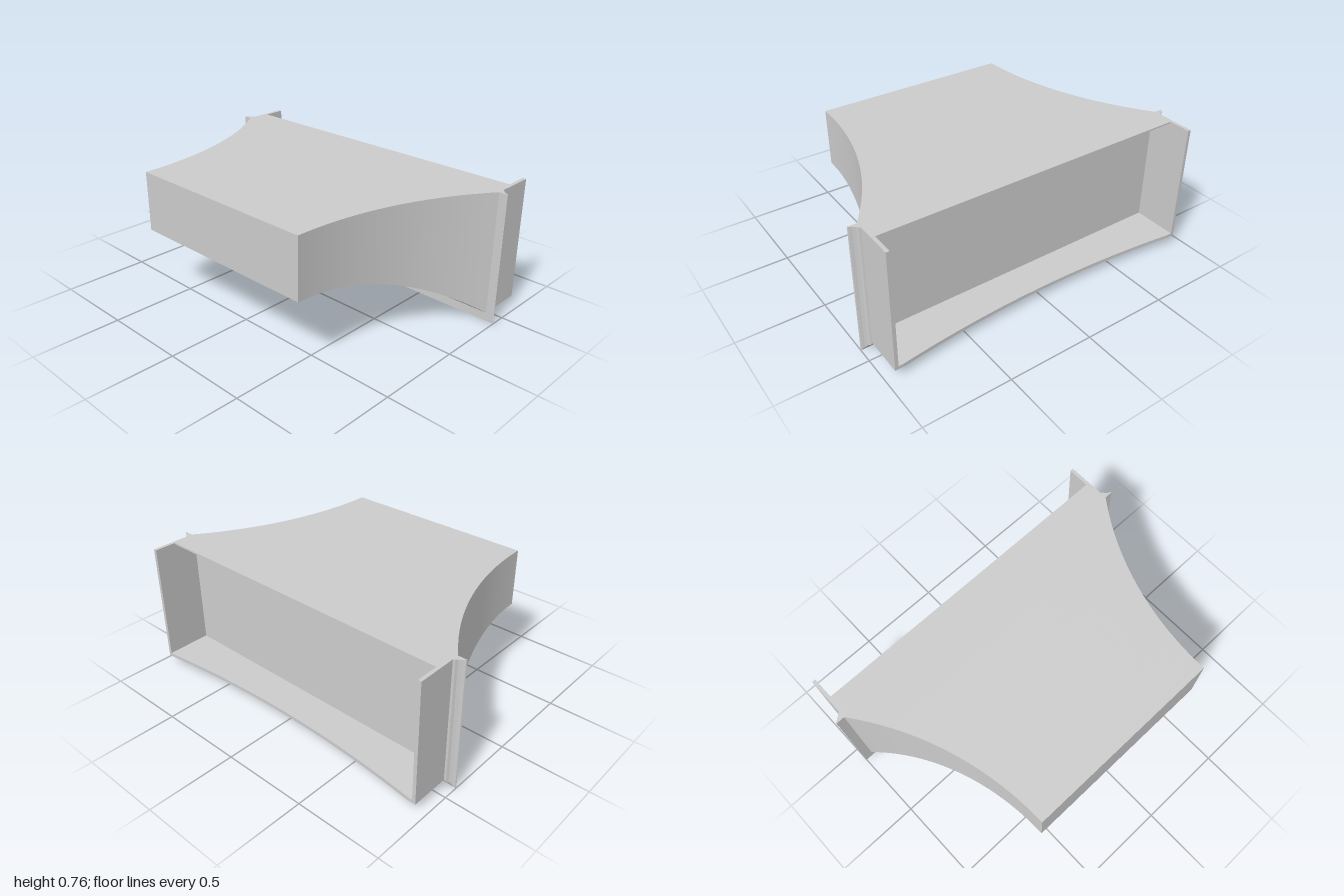
import * as THREE from 'three';

const TOP = 0.76, BASE = 0.05, FRONT = 0.675, JOIN = -0.41, BACK = -0.675, HALF = 0.95, WALL = 0.02;

// Skin a row of equal rings: smooth along the sweep, sharp between ring sides, capped at both ends.
function sweep(rings, faceted = false) {
  const pos = [], idx = [], n = rings[0].length;
  for (let k = 0; k < n; k++) {
    const start = pos.length / 3;
    rings.forEach((r) => pos.push(...r[k], ...r[(k + 1) % n]));
    for (let i = 0; i < rings.length - 1; i++) {
      const a = start + i * 2;
      idx.push(a, a + 2, a + 1, a + 1, a + 2, a + 3);
    }
  }
  [rings[0], [...rings[rings.length - 1]].reverse()].forEach((ring) => {
    const start = pos.length / 3;
    ring.forEach((p) => pos.push(...p));
    for (let k = 1; k < n - 1; k++) idx.push(start, start + k, start + k + 1);
  });
  let g = new THREE.BufferGeometry();
  g.setAttribute('position', new THREE.Float32BufferAttribute(pos, 3));
  g.setIndex(idx);
  if (faceted) g = g.toNonIndexed();
  g.computeVertexNormals();
  return g;
}

// Horizontal slab from a plan outline (x, distance towards the back).
function slab(shape, y, height) {
  const g = new THREE.ExtrudeGeometry(shape, { depth: height, bevelEnabled: false, curveSegments: 32 });
  return g.rotateX(-Math.PI / 2).translate(0, y, 0);
}

// Outline of one underside panel; its rear edge follows the bowed floor edge.
function panelOutline(side, inset) {
  const x0 = 0.04 + inset, x1 = 0.89 - inset, pts = [];
  pts.push(new THREE.Vector2(side * x0, 0.48 + inset), new THREE.Vector2(side * x1, 0.48 + inset));
  for (let i = 0; i <= 12; i++) {
    const x = x1 + (x0 - x1) * (i / 12);
    pts.push(new THREE.Vector2(side * x, 0.575 + 0.06 * (x / 0.9) ** 2 - inset));
  }
  return pts;
}

export function createModel() {
  const model = new THREE.Group();
  const mat = new THREE.MeshStandardMaterial({ color: 0xcccccc });
  const add = (name, geometry) => {
    const mesh = new THREE.Mesh(geometry, mat);
    mesh.name = name;
    model.add(mesh);
    return mesh;
  };
  const box = (name, w, h, d, x, y, z) => add(name, new THREE.BoxGeometry(w, h, d).translate(x, y, z));

  // Flared body: sides and underside follow the same circular arc
  const run = FRONT - JOIN, rise = 0.365;
  const radius = (run * run + rise * rise) / (2 * rise);
  const rings = [];
  for (let i = 0; i <= 40; i++) {
    const s = (i / 40) * run, drop = radius - Math.sqrt(radius * radius - s * s);
    const w = HALF - rise + drop, b = BASE + rise - drop, z = FRONT - s;
    rings.push([[w, b, z], [w, TOP, z], [-w, TOP, z], [-w, b, z]]);
  }
  add('flaredBody', sweep(rings));

  // Mitred moulding around both sides and the bottom: [outward, z]
  const profile = [[0, JOIN], [0.05, JOIN], [0.047, -0.416], [0.03, -0.423], [0.017, -0.433], [0.01, -0.445], [0, -0.45]];
  const stations = [[HALF, TOP, 1, 0], [HALF, BASE, 1, -1], [-HALF, BASE, -1, -1], [-HALF, TOP, -1, 0]];
  add('trimMoulding', sweep(stations.map(([x, y, dx, dy]) =>
    profile.map(([d, z]) => [x + dx * d, y + dy * d, z])), true));

  // Rear box, open at the back and along the rear of its top
  const depth = JOIN - BACK;
  for (const side of [1, -1]) {
    box(side > 0 ? 'leftWall' : 'rightWall', WALL, TOP - BASE, depth,
      side * (HALF - WALL / 2), (TOP + BASE) / 2, (JOIN + BACK) / 2);
  }
  box('topPanel', 2 * (HALF - WALL), 0.01, 0.135, 0, TOP - 0.005, JOIN - 0.0675);

  // Floor with a bowed rear edge and two panel openings
  const floor = new THREE.Shape();
  floor.moveTo(-HALF, -JOIN);
  floor.lineTo(HALF, -JOIN);
  floor.lineTo(HALF, -BACK);
  floor.lineTo(0.9, -BACK);
  floor.quadraticCurveTo(0, 0.555, -0.9, -BACK);
  floor.lineTo(-HALF, -BACK);
  floor.closePath();
  for (const side of [1, -1]) floor.holes.push(new THREE.Path(panelOutline(side, 0)));
  add('floor', slab(floor, BASE, WALL));

  // Recessed panels with a raised frame, seen from below
  for (const side of [1, -1]) {
    const name = side > 0 ? 'left' : 'right';
    add(name + 'PanelRecess', slab(new THREE.Shape(panelOutline(side, 0)), 0.062, 0.008));
    const frame = new THREE.Shape(panelOutline(side, 0.014));
    frame.holes.push(new THREE.Path(panelOutline(side, 0.026)));
    add(name + 'PanelFrame', slab(frame, 0.053, 0.01));
  }
  return model;
}
